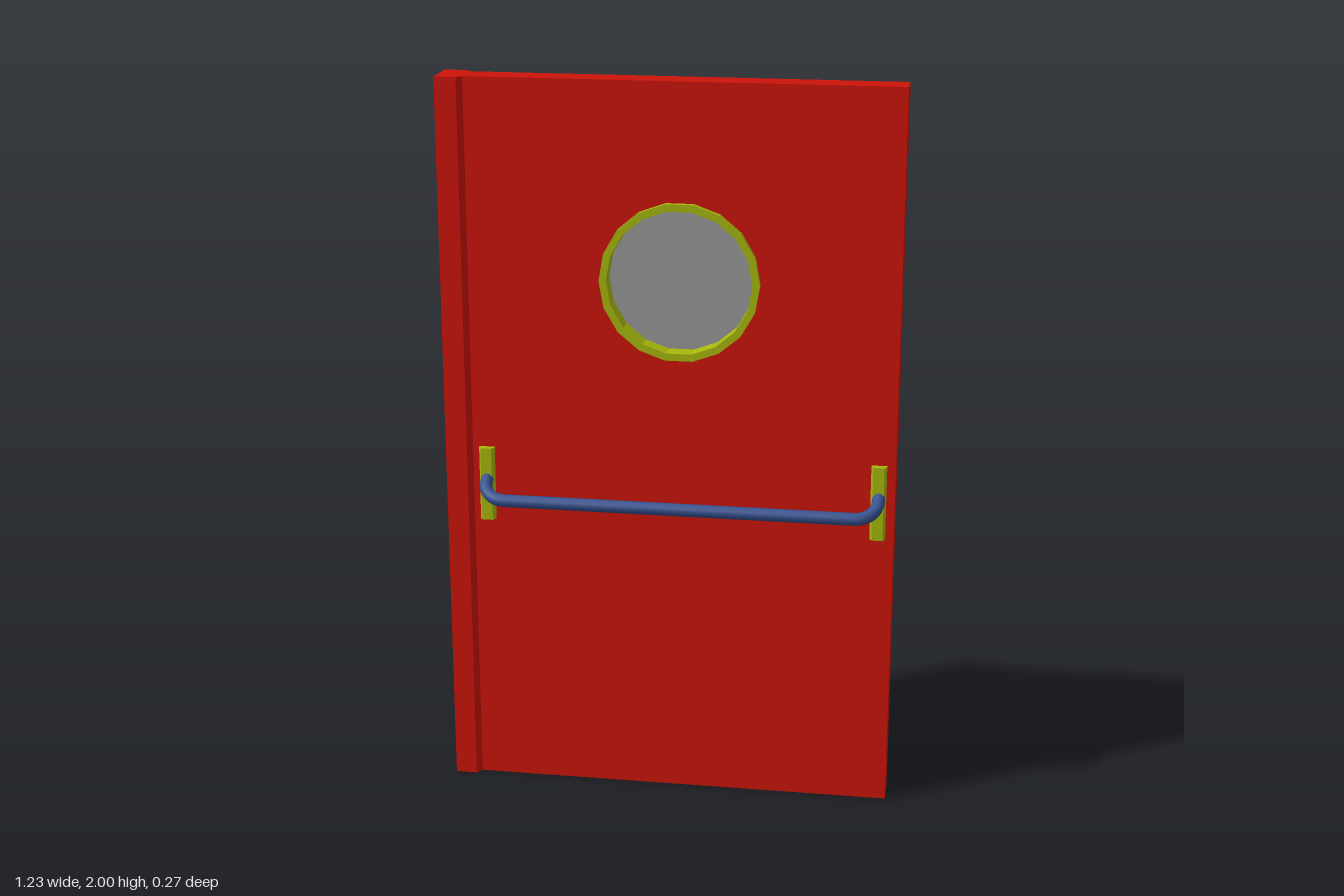
import * as THREE from 'three';

const paint = (color, extra = {}) => new THREE.MeshStandardMaterial({ color, ...extra });
const WINDOW = { x: 0.03, y: 1.47, outer: 0.215, inner: 0.195, sides: 18 };
const HALF = 0.041; // half thickness of the door slab

function polygon(Type, x, y, radius) {
  const points = [];
  for (let i = 0; i < WINDOW.sides; i++) {
    const a = (i / WINDOW.sides) * Math.PI * 2;
    points.push(new THREE.Vector2(x + radius * Math.cos(a), y + radius * Math.sin(a)));
  }
  return new Type(points);
}

// Extrude a shape along z, centred on z = 0
function slab(shape, depth) {
  const geometry = new THREE.ExtrudeGeometry(shape, { depth, bevelEnabled: false });
  return geometry.translate(0, 0, -depth / 2);
}

// Extrude an (x, z) outline upwards from y0 to y1
function upright(outline, y0, y1) {
  const shape = new THREE.Shape(outline.map(([x, z]) => new THREE.Vector2(x, -z)));
  const geometry = new THREE.ExtrudeGeometry(shape, { depth: y1 - y0, bevelEnabled: false });
  return geometry.rotateX(-Math.PI / 2).translate(0, y0, 0);
}

// Push bar: two slanted arms joined by a long rail with rounded corners
function barGeometry() {
  const left = -0.502, right = 0.572, bend = 0.06;
  const footL = new THREE.Vector3(left, 0.905, 0.045);
  const cornerL = new THREE.Vector3(left, 0.86, 0.12);
  const footR = footL.clone().setX(right), cornerR = cornerL.clone().setX(right);
  const back = footL.clone().sub(cornerL).normalize().multiplyScalar(bend);
  const a = cornerL.clone().add(back), b = cornerL.clone().setX(left + bend);
  const c = cornerR.clone().setX(right - bend), d = cornerR.clone().add(back);
  const k = 0.45;
  const path = new THREE.CurvePath();
  path.add(new THREE.LineCurve3(footL, a));
  path.add(new THREE.CubicBezierCurve3(a, a.clone().lerp(cornerL, 1 - k), b.clone().lerp(cornerL, 1 - k), b));
  path.add(new THREE.LineCurve3(b, c));
  path.add(new THREE.CubicBezierCurve3(c, c.clone().lerp(cornerR, 1 - k), d.clone().lerp(cornerR, 1 - k), d));
  path.add(new THREE.LineCurve3(d, footR));
  return new THREE.TubeGeometry(path, 100, 0.0175, 12, false);
}

export function createModel() {
  const model = new THREE.Group();
  const red = paint(0xcc1409), lime = paint(0xa8b80c), blue = paint(0x34508f);
  const add = (parent, name, geometry, material) => {
    const mesh = new THREE.Mesh(geometry, material);
    mesh.name = name;
    parent.add(mesh);
    return mesh;
  };

  // Door slab with the round opening
  const panel = new THREE.Shape([[-0.58, 0], [0.615, 0], [0.615, 2], [-0.58, 2]].map(p => new THREE.Vector2(...p)));
  panel.holes.push(polygon(THREE.Path, WINDOW.x, WINDOW.y, WINDOW.outer - 0.005));
  add(model, 'doorPanel', slab(panel, HALF * 2), red);

  // Thicker hinge stile with chamfered inner corners
  add(model, 'hingeStile', upright([
    [-0.615, 0.06], [-0.556, 0.06], [-0.543, HALF], [-0.543, -HALF], [-0.556, -0.06], [-0.615, -0.06],
  ], 0, 2), red);

  // Porthole frame and pane
  const rim = polygon(THREE.Shape, WINDOW.x, WINDOW.y, WINDOW.outer);
  rim.holes.push(polygon(THREE.Path, WINDOW.x, WINDOW.y, WINDOW.inner));
  add(model, 'windowFrame', slab(rim, 0.114), lime);
  add(model, 'windowPane', slab(polygon(THREE.Shape, WINDOW.x, WINDOW.y, WINDOW.inner + 0.003), 0.012), paint(0x999999));

  // Mounting plates and push bar on each face
  for (const side of ['front', 'back']) {
    const set = new THREE.Group();
    set.name = side + 'PushBar';
    add(set, 'bar', barGeometry(), side === 'front' ? blue : red);
    for (const x of [-0.503, 0.571]) {
      add(set, 'mountingPlate', upright([
        [x - 0.021, 0.035], [x + 0.021, 0.035], [x + 0.021, 0.05],
        [x + 0.015, 0.061], [x - 0.015, 0.061], [x - 0.021, 0.05],
      ], 0.78, 0.987), lime);
    }
    if (side === 'back') {
      // Turn round, keeping the same offset towards the free edge
      set.rotation.y = Math.PI;
      set.position.x = 0.07;
    }
    model.add(set);
  }
  return model;
}
